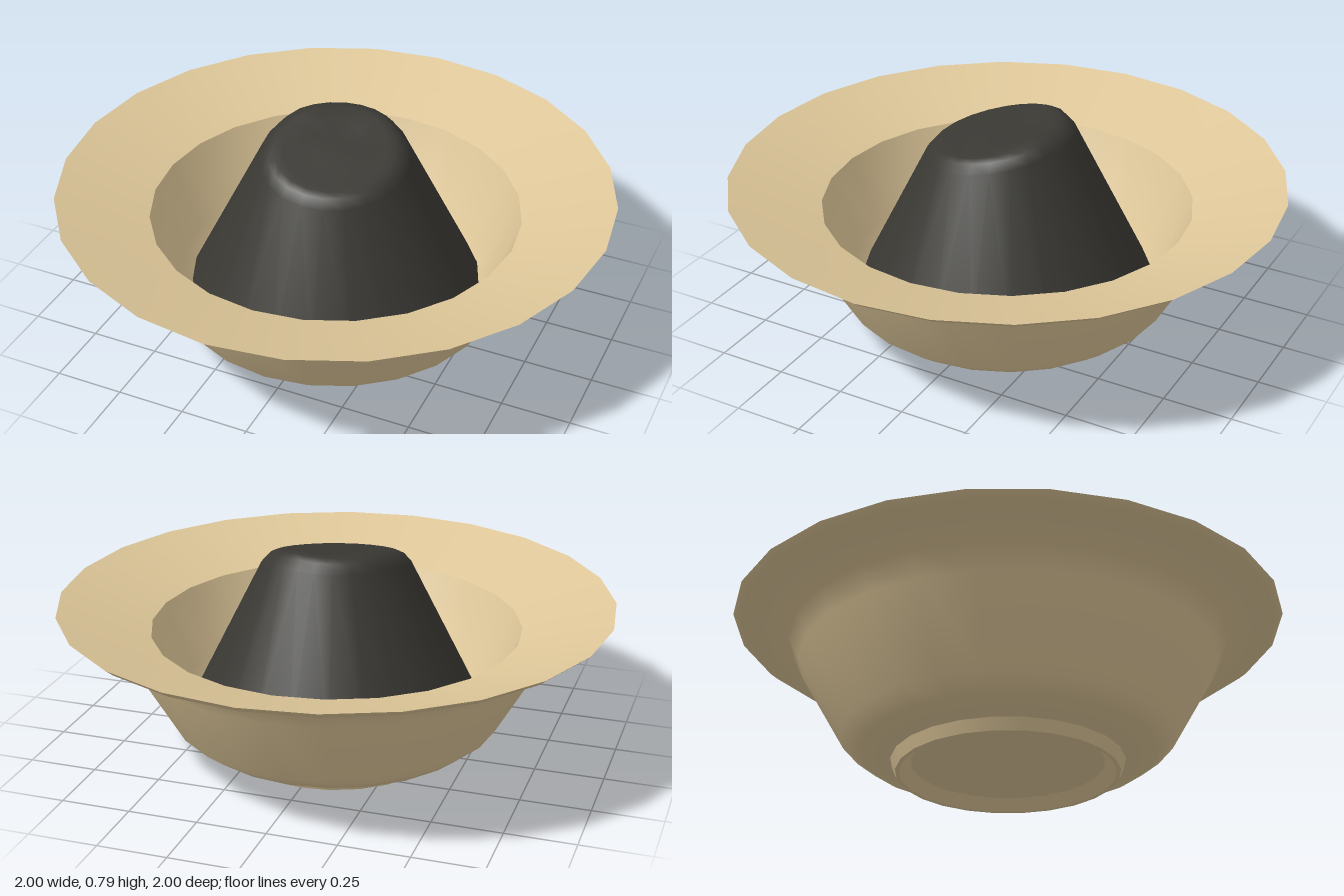
import * as THREE from 'three';
import { mergeGeometries, mergeVertices } from 'three/addons/utils/BufferGeometryUtils.js';

const SIDES = 24;
const lathe = (pts) => new THREE.LatheGeometry(pts.map(([r, y]) => new THREE.Vector2(r, y)), SIDES);

// Each profile is smooth by itself; edges stay sharp where two profiles meet.
function bowlGeometry() {
  return mergeGeometries([
    lathe([[0, 0.04], [0.345, 0.04]]),                         // recess under the foot
    lathe([[0.345, 0.04], [0.385, 0]]),                        // inside of the foot
    lathe([[0.385, 0], [0.40, 0]]),                            // foot ground ring
    lathe([[0.40, 0], [0.418, 0.042]]),                        // outside of the foot
    lathe([[0.418, 0.042], [0.53, 0.075], [0.6, 0.13], [0.76, 0.41],
      [0.8, 0.492], [0.97, 0.545], [1, 0.57]]),                // outer wall and brim underside
    lathe([[1, 0.57], [0.83, 0.517], [0.67, 0.47]]),           // brim top
    lathe([[0.67, 0.47], [0.57, 0.22], [0.5, 0.13]]),          // inner wall
    lathe([[0.5, 0.13], [0, 0.12]]),                           // floor
  ]);
}

// Truncated cone whose rounded top is cut at a slant towards the front.
function coneGeometry() {
  const coneRadius = (y) => 0.335 - (y - 0.57) * 0.5;
  const topHeight = (x, z) => Math.min(0.79, 0.75 - 0.06 * x - 0.2 * z);
  // Rings above the base: [drop below the cut, inset from the cone side]
  const rings = [[0.045, 0], [0.015, 0.012], [0.003, 0.03], [0, 0.06]];
  const profile = [[0.525, 0.13], [0.53, 0.18], ...rings.map((_, i) => [0.26, 0.7 + i * 0.01]),
    [0.1, 0.76], [0, 0.77]];
  const geo = lathe(profile);
  const p = geo.attributes.position;
  for (let i = 0; i < p.count; i++) {
    const k = i % profile.length;
    if (k < 2) continue;
    const a = Math.floor(i / profile.length) / SIDES * Math.PI * 2;
    const ring = rings[k - 2];
    let r = profile[k][0];
    let y = topHeight(Math.sin(a) * r, Math.cos(a) * r);
    if (ring) {
      y -= ring[0];
      r = coneRadius(y) - ring[1];
    }
    p.setXYZ(i, Math.sin(a) * r, y, Math.cos(a) * r);
  }
  geo.deleteAttribute('uv');
  geo.deleteAttribute('normal');
  const welded = mergeVertices(geo, 1e-4);
  welded.computeVertexNormals();
  return welded;
}

export function createModel() {
  const group = new THREE.Group();
  const add = (name, geometry, color) => {
    const mesh = new THREE.Mesh(geometry, new THREE.MeshStandardMaterial({ color }));
    mesh.name = name;
    group.add(mesh);
  };
  add('bowl', bowlGeometry(), 0xdec799);
  add('slantedCone', coneGeometry(), 0x393833);
  return group;
}
